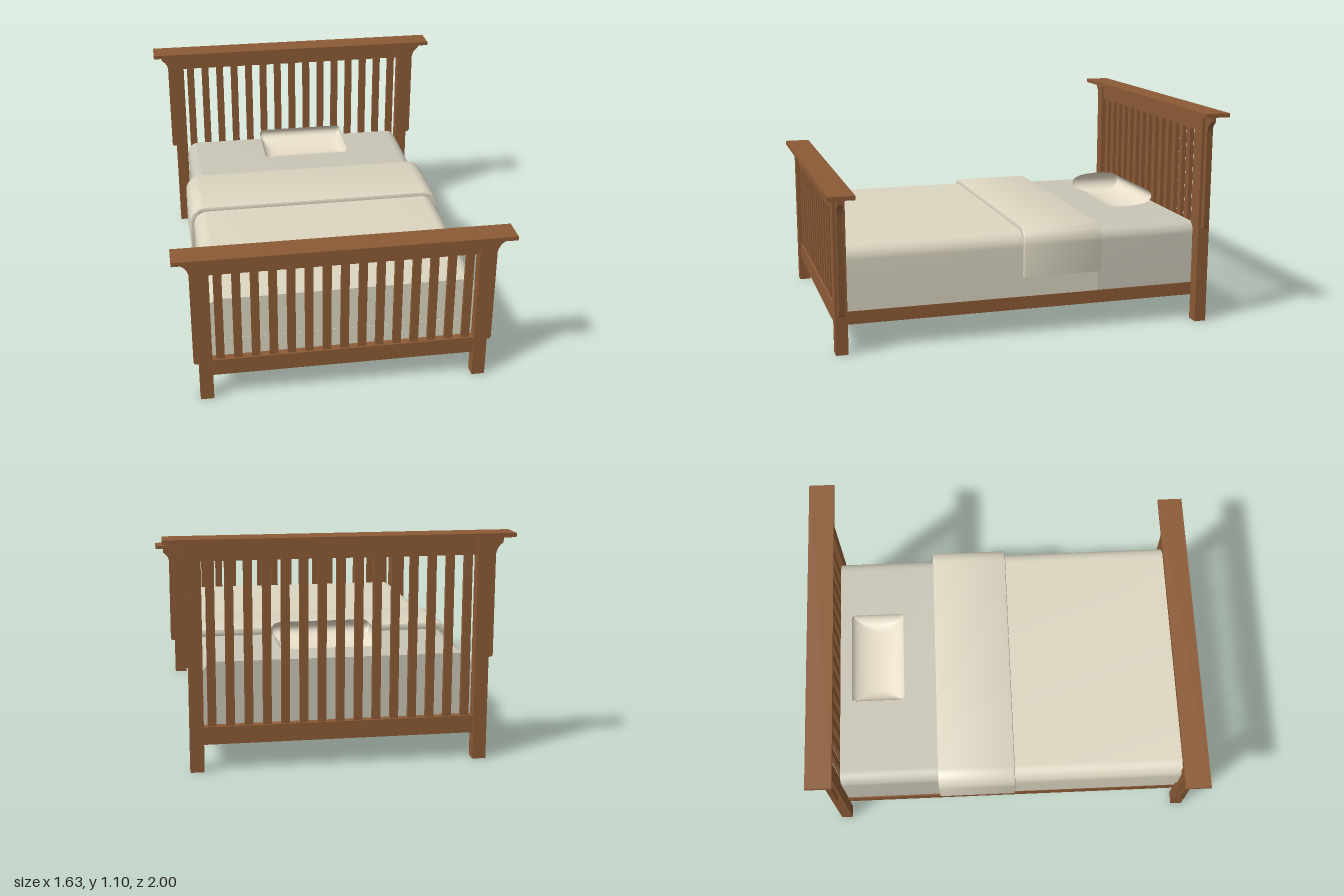
import * as THREE from 'three';
import { toCreasedNormals } from 'three/addons/utils/BufferGeometryUtils.js';

const wood = new THREE.MeshStandardMaterial({ color: 0x8b5a35 });
const sheetMat = new THREE.MeshStandardMaterial({ color: 0xc8c5b6 });
const blanketMat = new THREE.MeshStandardMaterial({ color: 0xdbd5c0 });
const pillowMat = new THREE.MeshStandardMaterial({ color: 0xe8dfca });

function add(parent, name, geometry, material) {
  const mesh = new THREE.Mesh(geometry, material);
  mesh.name = name;
  parent.add(mesh);
  return mesh;
}

// Box given by its limits on each axis
function box(parent, name, [x0, x1], [y0, y1], [z0, z1], material = wood) {
  const mesh = add(parent, name, new THREE.BoxGeometry(x1 - x0, y1 - y0, z1 - z0), material);
  mesh.position.set((x0 + x1) / 2, (y0 + y1) / 2, (z0 + z1) / 2);
  return mesh;
}

// Extrude a shape in the xy plane between two z values
function slab(parent, name, shape, z0, z1, material, bevel = 0) {
  const geo = new THREE.ExtrudeGeometry(shape, {
    depth: z1 - z0 - 2 * bevel, curveSegments: 6, bevelEnabled: bevel > 0,
    bevelSize: bevel, bevelThickness: bevel, bevelOffset: -bevel, bevelSegments: 2
  });
  geo.translate(0, 0, z0 + bevel);
  return add(parent, name, toCreasedNormals(geo, 0.6), material);
}

// Slatted end board; height is the underside of the cap
function endBoard(name, height, braceBottom) {
  const board = new THREE.Group();
  board.name = name;
  box(board, 'cap', [-0.815, 0.815], [height, height + 0.02], [-0.065, 0.065]);
  box(board, 'topRail', [-0.65, 0.65], [height - 0.085, height], [-0.02, 0.02]);
  box(board, 'bottomRail', [-0.65, 0.65], [0.13, 0.215], [-0.02, 0.02]);
  for (let i = -7; i <= 7; i++) {
    const x = i * 0.0864;
    box(board, 'slat', [x - 0.02, x + 0.02], [0.21, height - 0.08], [-0.011, 0.011]);
  }
  // Curved brace running down the outside of each post
  const brace = new THREE.Shape();
  brace.moveTo(0.705, height);
  brace.lineTo(0.705, braceBottom);
  brace.lineTo(0.72, braceBottom);
  brace.quadraticCurveTo(0.735, braceBottom, 0.735, braceBottom + 0.015);
  brace.lineTo(0.735, height - 0.085);
  brace.quadraticCurveTo(0.74, height - 0.05, 0.77, height - 0.03);
  brace.lineTo(0.77, height);
  for (const side of [-1, 1]) {
    const post = box(board, 'post', [0.645, 0.71], [0, height], [-0.03, 0.03]);
    post.position.x *= side;
    const b = slab(board, 'brace', brace, -0.014, 0.014, wood);
    if (side < 0) b.rotation.y = Math.PI;
  }
  return board;
}

// Solid cross-section with rounded upper corners
function mattressShape(w, bottom, top, r) {
  const s = new THREE.Shape();
  s.moveTo(-w, bottom);
  s.lineTo(w, bottom);
  s.absarc(w - r, top - r, r, 0, Math.PI / 2, false);
  s.absarc(-w + r, top - r, r, Math.PI / 2, Math.PI, false);
  return s;
}

// Thin draped cross-section, open underneath
function drapeShape(w, bottom, top, r, t) {
  const s = mattressShape(w, bottom, top, r);
  s.lineTo(-w, bottom);
  s.lineTo(-w + t, bottom);
  s.absarc(-w + r, top - r, r - t, Math.PI, Math.PI / 2, true);
  s.absarc(w - r, top - r, r - t, Math.PI / 2, 0, true);
  s.lineTo(w - t, bottom);
  s.lineTo(w, bottom);
  return s;
}

// Pillow: elliptical section, flattened towards mitred ends
function pillowGeometry(halfX, halfY, halfZ) {
  const rows = 28, cols = 32, pos = [], index = [];
  for (let i = 0; i <= rows; i++) {
    const a = -Math.PI / 2 + Math.PI * i / rows;
    const s = Math.sin(a), c = Math.abs(Math.cos(a));
    // Stations gather at the ends
    const x = halfX * s;
    const end = Math.min(1, (halfX - Math.abs(x)) / 0.075);
    const h = halfY * Math.sqrt(Math.max(0, 1 - (1 - end) ** 2));
    const d = i === 0 || i === rows ? halfZ * 0.92 : halfZ * (0.92 + 0.08 * Math.min(1, c * 3));
    for (let j = 0; j <= cols; j++) {
      const b = 2 * Math.PI * j / cols;
      const y = halfY * Math.sin(b);
      pos.push(x, Math.sign(y) * Math.min(Math.abs(y), h), d * Math.cos(b));
    }
  }
  for (let i = 0; i < rows; i++) for (let j = 0; j < cols; j++) {
    const p = i * (cols + 1) + j, q = p + cols + 1;
    index.push(p, q, p + 1, q, q + 1, p + 1);
  }
  const geo = new THREE.BufferGeometry();
  geo.setAttribute('position', new THREE.Float32BufferAttribute(pos, 3));
  geo.setIndex(index.reverse());
  return toCreasedNormals(geo, 0.5);
}

export function createModel() {
  const bed = new THREE.Group();
  bed.name = 'bed';

  const footboard = endBoard('footboard', 0.775, 0.195);
  footboard.position.z = 0.935;
  const headboard = endBoard('headboard', 1.08, 0.5);
  headboard.position.z = -0.935;
  bed.add(footboard, headboard);

  box(bed, 'platform', [-0.65, 0.65], [0.13, 0.195], [-0.915, 0.915]);

  // Bedding
  slab(bed, 'mattress', mattressShape(0.643, 0.195, 0.515, 0.06), -0.91, -0.385, sheetMat);
  slab(bed, 'coveredMattress', mattressShape(0.648, 0.195, 0.517, 0.06), -0.385, 0.908, blanketMat);
  slab(bed, 'blanket', drapeShape(0.665, 0.305, 0.528, 0.075, 0.02), -0.3, 0.91, blanketMat);
  slab(bed, 'foldedBlanket', drapeShape(0.685, 0.305, 0.55, 0.085, 0.035), -0.39, 0.018, blanketMat, 0.008);

  const pillow = add(bed, 'pillow', pillowGeometry(0.245, 0.06, 0.142), pillowMat);
  pillow.position.set(0.035, 0.58, -0.698);
  return bed;
}
